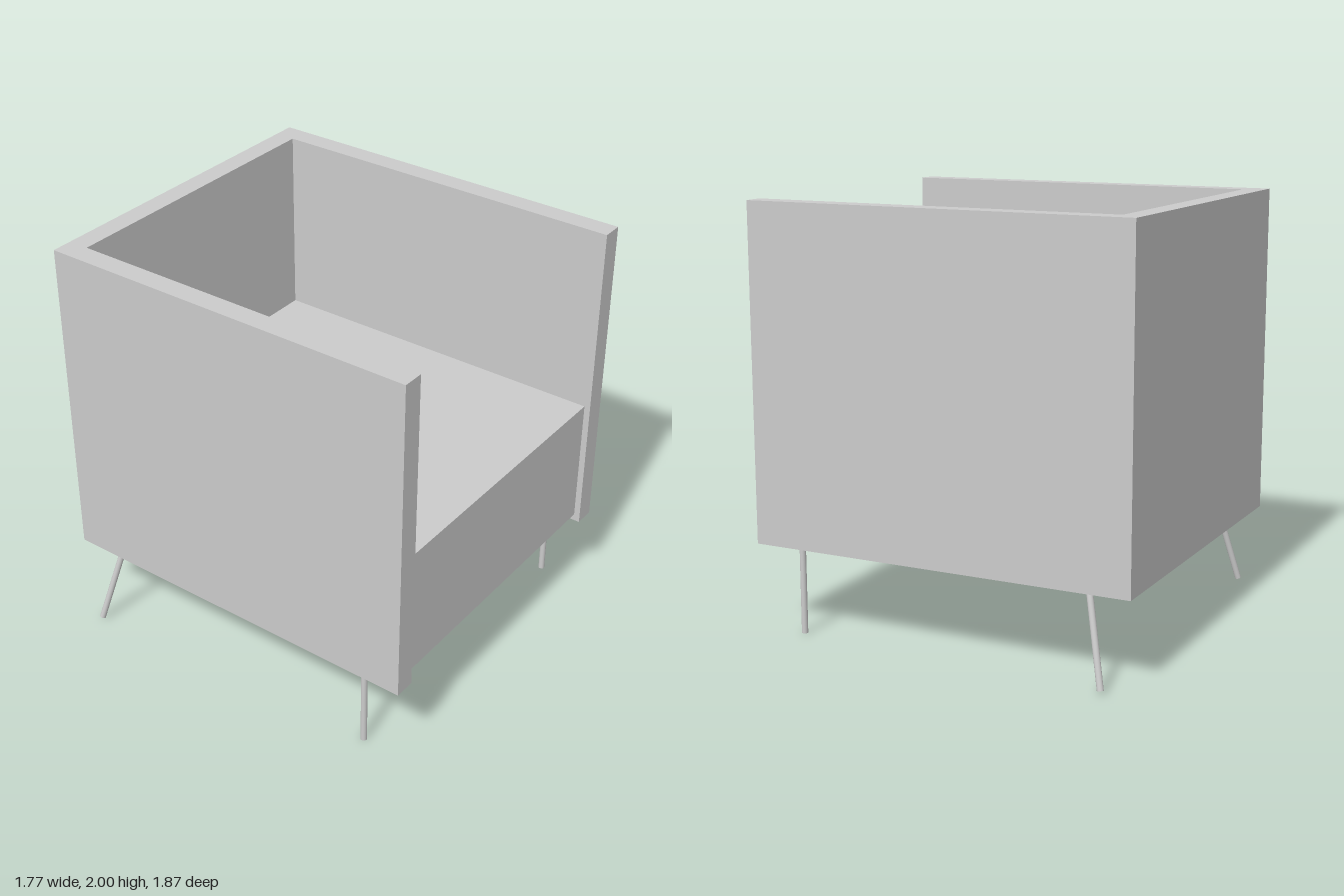
import * as THREE from 'three';

const material = new THREE.MeshStandardMaterial({ color: 0xcccccc });

function part(name, geometry) {
  const mesh = new THREE.Mesh(geometry, material);
  mesh.name = name;
  return mesh;
}

// Round leg running between two points
function leg(name, top, bottom) {
  const axis = top.clone().sub(bottom);
  const mesh = part(name, new THREE.CylinderGeometry(0.015, 0.015, axis.length(), 16));
  mesh.position.copy(top).add(bottom).multiplyScalar(0.5);
  mesh.quaternion.setFromUnitVectors(new THREE.Vector3(0, 1, 0), axis.normalize());
  return mesh;
}

export function createModel() {
  const group = new THREE.Group();
  group.name = 'armchair';

  // One-piece U-shaped wall forming the arms and back (plan drawn with y = -z)
  const outerX = 0.835, innerX = 0.733, depth = 0.935, innerBack = 0.835;
  const base = 0.415, top = 2;
  const plan = new THREE.Shape([
    [-outerX, -depth], [-innerX, -depth], [-innerX, innerBack], [innerX, innerBack],
    [innerX, -depth], [outerX, -depth], [outerX, depth], [-outerX, depth],
  ].map(([x, y]) => new THREE.Vector2(x, y)));
  const shellGeometry = new THREE.ExtrudeGeometry(plan, { depth: top - base, bevelEnabled: false });
  shellGeometry.rotateX(-Math.PI / 2).translate(0, base, 0);
  group.add(part('armsAndBack', shellGeometry));

  // Seat block, raised slightly above the bottom of the shell
  const seatBottom = 0.45, seatTop = 1.085, seatFront = 0.905;
  const seat = part('seat', new THREE.BoxGeometry(innerX * 2, seatTop - seatBottom, seatFront + innerBack));
  seat.position.set(0, (seatTop + seatBottom) / 2, (seatFront - innerBack) / 2);
  group.add(seat);

  // Upright front legs and splayed rear legs
  for (const [side, s] of [['left', 1], ['right', -1]]) {
    group.add(leg(`${side}FrontLeg`,
      new THREE.Vector3(s * 0.785, base, 0.72), new THREE.Vector3(s * 0.785, 0, 0.72)));
    group.add(leg(`${side}RearLeg`,
      new THREE.Vector3(s * 0.781, base + 0.01, -0.722), new THREE.Vector3(s * 0.872, 0.013, -0.818)));
  }
  return group;
}
